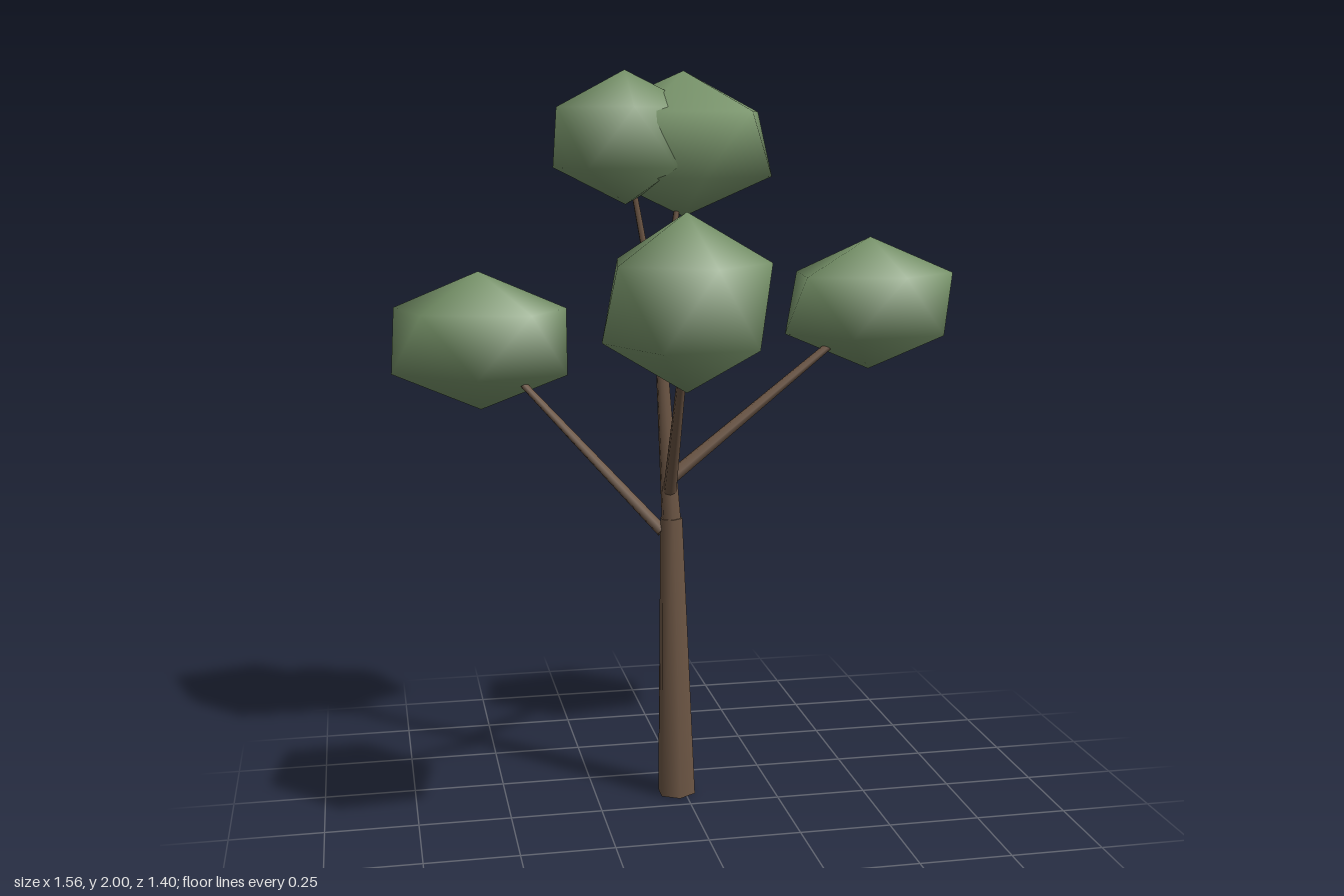
import * as THREE from 'three';

const bark = new THREE.MeshStandardMaterial({ color: 0x6e5745 });
bark.name = 'bark brown';
const leaf = new THREE.MeshStandardMaterial({ color: 0x78946a });
leaf.name = 'leaf green';

// Tapered limb between two points
function limb(name, from, to, r0, r1, sides = 6) {
  const a = new THREE.Vector3(...from), b = new THREE.Vector3(...to);
  const dir = b.clone().sub(a);
  const mesh = new THREE.Mesh(new THREE.CylinderGeometry(r1, r0, dir.length(), sides), bark);
  mesh.position.copy(a).add(b).multiplyScalar(0.5);
  mesh.quaternion.setFromUnitVectors(new THREE.Vector3(0, 1, 0), dir.normalize());
  mesh.name = name;
  return mesh;
}

// Smooth-shaded icosahedron: two poles and two offset rings of five,
// stretched along two horizontal axes a and b (given as x, z)
function leafClump(name, centre, h, a, b) {
  const pos = [0, 1, 0];
  for (const s of [1, -1]) {
    for (let k = 0; k < 5; k++) {
      const t = k * Math.PI * 0.4;
      pos.push(s * Math.cos(t), s * 0.447, s * Math.sin(t));
    }
  }
  pos.push(0, -1, 0);
  const index = [];
  for (let k = 0; k < 5; k++) {
    const n = (k + 1) % 5;
    const u0 = 1 + k, u1 = 1 + n;
    // lower corner between two upper ones is opposite the upper corner k + 3
    const l0 = 6 + (k + 3) % 5, l1 = 6 + (k + 4) % 5;
    index.push(0, u1, u0, u0, u1, l0, u1, l1, l0, 11, l0, l1);
  }
  const geo = new THREE.BufferGeometry();
  geo.setAttribute('position', new THREE.Float32BufferAttribute(pos, 3));
  geo.setIndex(index);
  geo.applyMatrix4(new THREE.Matrix4().makeBasis(
    new THREE.Vector3(a[0], 0, a[1]),
    new THREE.Vector3(0, h, 0),
    new THREE.Vector3(b[0], 0, b[1])));
  geo.computeVertexNormals();
  const mesh = new THREE.Mesh(geo, leaf);
  mesh.position.set(...centre);
  mesh.name = name;
  return mesh;
}

export function createModel() {
  const tree = new THREE.Group();
  tree.name = 'tree';

  // Trunk
  const fork = [-0.069, 1.31, -0.075];
  tree.add(
    limb('lowerTrunk', [-0.022, 0, -0.097], [-0.037, 0.8, -0.087], 0.055, 0.032),
    limb('upperTrunk', [-0.037, 0.79, -0.087], fork, 0.028, 0.015));

  // Branches
  tree.add(
    limb('rightBranch', [-0.06, 0.76, -0.1], [-0.42, 1.15, -0.41], 0.017, 0.01),
    limb('leftBranch', [-0.04, 0.91, -0.088], [0.45, 1.275, -0.16], 0.02, 0.011),
    limb('frontBranch', [-0.042, 0.87, -0.085], [-0.09, 1.34, 0.385], 0.019, 0.01),
    limb('topLeftBranch', fork, [0, 1.78, -0.09], 0.011, 0.007),
    limb('topRightBranch', fork, [-0.16, 1.78, -0.035], 0.011, 0.007));

  // Foliage
  tree.add(
    leafClump('rightClump', [-0.52, 1.25, -0.5], 0.2, [-0.239, -0.118], [0.102, -0.172]),
    leafClump('leftClump', [0.546, 1.37, -0.178], 0.185, [-0.181, -0.116], [0.159, -0.142]),
    leafClump('frontClump', [-0.105, 1.448, 0.483], 0.213, [0.029, 0.22], [-0.197, 0.024]),
    leafClump('topLeftClump', [0, 1.81, -0.097], 0.19, [-0.017, -0.195], [0.243, -0.041]),
    leafClump('topRightClump', [-0.167, 1.828, -0.033], 0.172, [0, 0.146], [-0.193, 0]));

  return tree;
}
